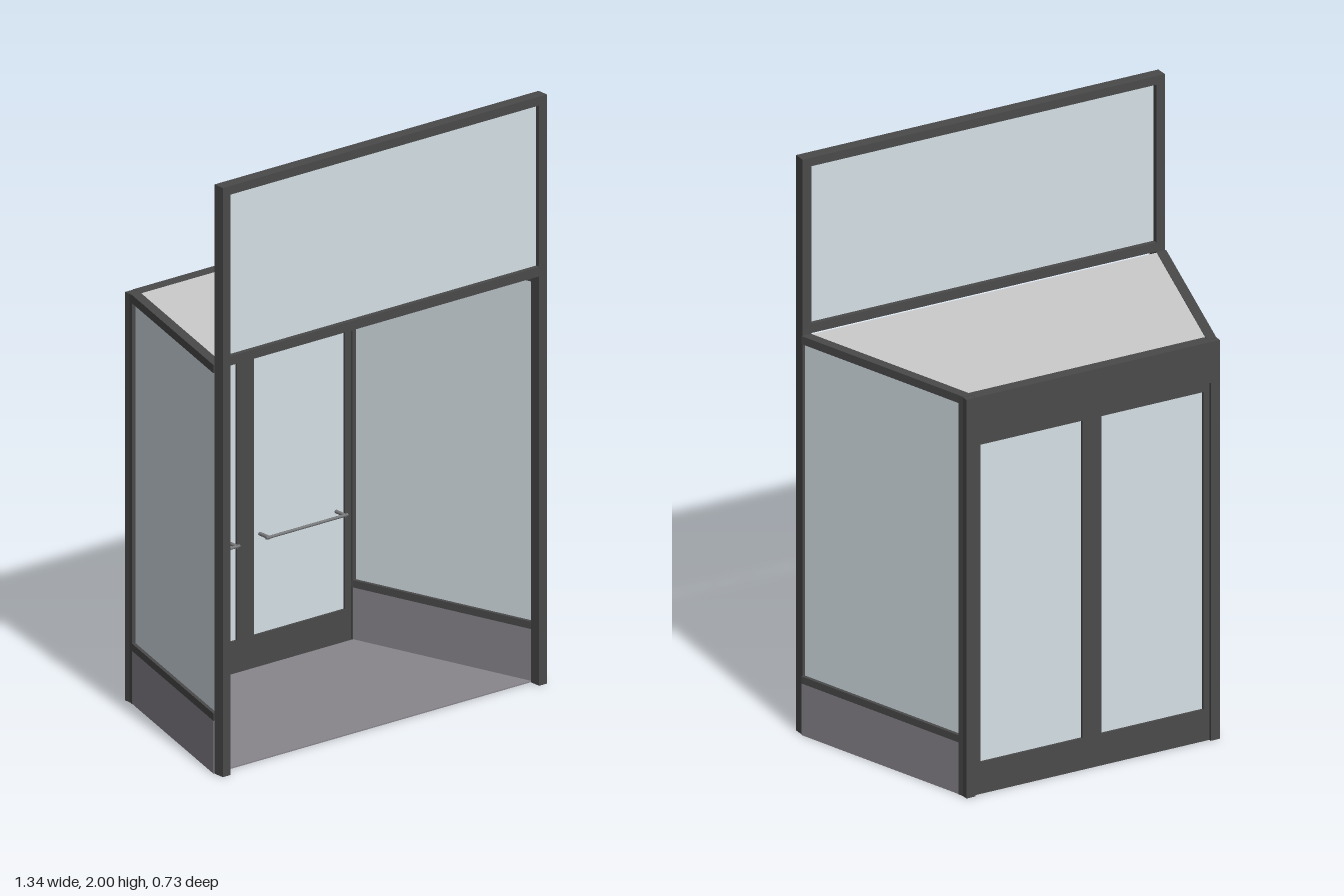
import * as THREE from 'three';

const paint = (color) => new THREE.MeshStandardMaterial({ color, side: THREE.DoubleSide });

export function createModel() {
  const root = new THREE.Group();
  root.name = 'entranceVestibule';
  const frame = paint(0x4a4a4a), glass = paint(0xd5e0e6), panel = paint(0x88858c);
  const roofGrey = paint(0xcccccc), metal = paint(0x77787a);

  // Box given by its minimum and maximum on each axis
  function box(parent, name, mat, x0, x1, y0, y1, z0, z1) {
    const m = new THREE.Mesh(new THREE.BoxGeometry(x1 - x0, y1 - y0, z1 - z0), mat);
    m.position.set((x0 + x1) / 2, (y0 + y1) / 2, (z0 + z1) / 2);
    m.name = name;
    parent.add(m);
    return m;
  }

  // Upright prism over a plan outline of [x, z] points
  function prism(parent, name, mat, plan, y0, y1) {
    const shape = new THREE.Shape(plan.map(([x, z]) => new THREE.Vector2(x, -z)));
    const geo = new THREE.ExtrudeGeometry(shape, { depth: y1 - y0, bevelEnabled: false });
    geo.rotateX(-Math.PI / 2);
    geo.translate(0, y0, 0);
    const m = new THREE.Mesh(geo, mat);
    m.name = name;
    parent.add(m);
  }

  const zF = 0.325, zB = -0.325, zBack = -0.367, zFront = 0.367;
  const wallX = (z) => 0.553 + 0.307 * z; // centre line of the splayed side walls

  // Front frame with the tall transom window
  const front = new THREE.Group();
  front.name = 'frontFrame';
  root.add(front);
  for (const s of [-1, 1]) box(front, 'frontPost', frame, s * 0.65 - 0.016, s * 0.65 + 0.016, 0, 2, zF, zFront);
  box(front, 'topBeam', frame, -0.64, 0.64, 1.97, 2, zF, zFront);
  box(front, 'middleBeam', frame, -0.64, 0.64, 1.39, 1.422, zF, zFront);
  box(front, 'transomGlass', glass, -0.64, 0.64, 1.41, 1.98, 0.341, 0.351);

  // Splayed side walls: kick panel, sill, glass and head rail
  for (const s of [-1, 1]) {
    const side = new THREE.Group();
    side.name = s > 0 ? 'leftWall' : 'rightWall';
    root.add(side);
    const strip = (name, mat, half, z0, z1, y0, y1) => prism(side, name, mat, [
      [s * (wallX(z0) - half), z0], [s * (wallX(z0) + half), z0],
      [s * (wallX(z1) + half), z1], [s * (wallX(z1) - half), z1],
    ], y0, y1);
    strip('kickPanel', panel, 0.0165, -0.345, zF, 0, 0.18);
    strip('sillRail', frame, 0.0175, -0.345, zF, 0.18, 0.205);
    strip('sideGlass', glass, 0.005, -0.345, zF, 0.2, 1.365);
    strip('headRail', frame, 0.0175, -0.345, zF, 1.36, 1.388);
    // Rear corner post, its outer face following the wall
    prism(side, 'rearPost', frame, [
      [s * 0.432, zBack], [s * 0.466, zBack], [s * 0.466, -0.345], [s * 0.471, zB], [s * 0.435, zB],
    ], 0, 1.386);
  }

  // Back wall with a deep header and a pair of slightly recessed doors
  const back = new THREE.Group();
  back.name = 'doorWall';
  root.add(back);
  box(back, 'header', frame, -0.433, 0.433, 1.245, 1.387, zBack, zB);
  for (const s of [-1, 1]) {
    const door = new THREE.Group();
    door.name = s > 0 ? 'leftDoor' : 'rightDoor';
    back.add(door);
    const part = (name, mat, a, b, y0, y1, z0, z1) =>
      box(door, name, mat, Math.min(s * a, s * b), Math.max(s * a, s * b), y0, y1, z0, z1);
    part('outerStile', frame, 0.41, 0.433, 0, 1.245, -0.358, -0.332);
    part('innerStile', frame, 0, 0.035, 0, 1.245, -0.358, -0.332);
    part('bottomRail', frame, 0.035, 0.41, 0, 0.11, -0.358, -0.332);
    part('topRail', frame, 0.035, 0.41, 1.214, 1.245, -0.358, -0.332);
    part('doorGlass', glass, 0.03, 0.415, 0.1, 1.22, -0.35, -0.34);

    // Horizontal push bar on two stand-offs
    const bar = new THREE.Mesh(new THREE.CylinderGeometry(0.005, 0.005, 0.335, 12), metal);
    bar.rotation.z = Math.PI / 2;
    bar.position.set(s * 0.222, 0.447, -0.295);
    bar.name = 'pushBar';
    door.add(bar);
    for (const x of [0.065, 0.379]) {
      const post = new THREE.Mesh(new THREE.CylinderGeometry(0.006, 0.006, 0.048, 12), metal);
      post.rotation.x = Math.PI / 2;
      post.position.set(s * x, 0.447, -0.316);
      post.name = 'barStandOff';
      door.add(post);
    }
  }

  // Floor and flat roof fill the trapezium between the walls
  const plan = (inset) => [
    [-(wallX(zF) - inset), zF], [wallX(zF) - inset, zF],
    [wallX(zB) - inset, zB], [-(wallX(zB) - inset), zB],
  ];
  prism(root, 'floor', panel, plan(0.016), 0, 0.004);
  prism(root, 'roof', roofGrey, plan(0.017), 1.376, 1.386);
  return root;
}
